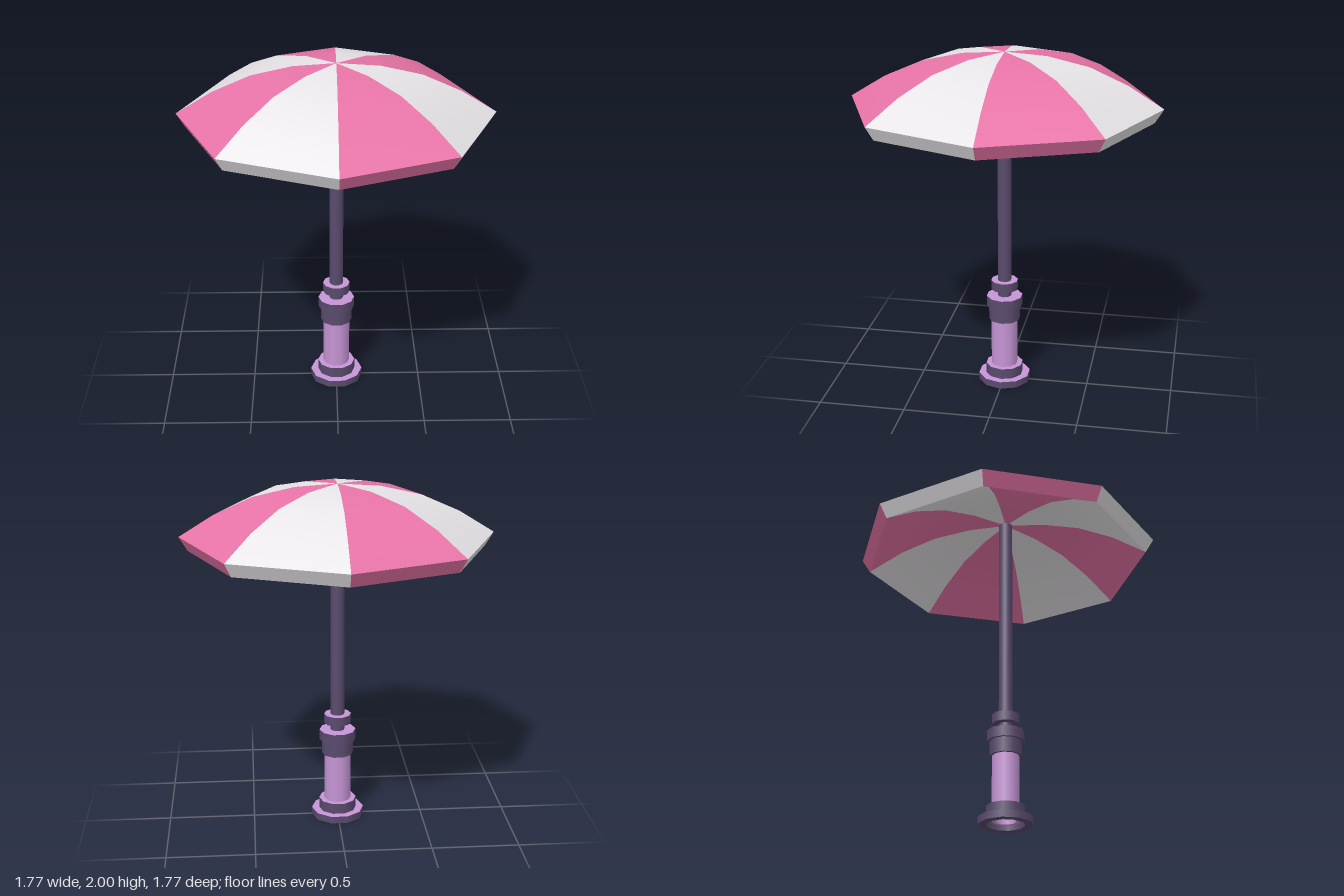
import * as THREE from 'three';

const pink = new THREE.MeshStandardMaterial({ name: 'pink cloth', color: 0xe975a8, side: THREE.DoubleSide });
const white = new THREE.MeshStandardMaterial({ name: 'white cloth', color: 0xe8e5e8, side: THREE.DoubleSide });
const dark = new THREE.MeshStandardMaterial({ name: 'dark purple', color: 0x5a4b6e });
const lilac = new THREE.MeshStandardMaterial({ name: 'lilac', color: 0xc695d6, side: THREE.DoubleSide });

const SIDES = 10;
const DOME = [[0, 2], [0.238, 1.984], [0.47, 1.932], [0.685, 1.837], [0.884, 1.714]];
const VALANCE = [[0.884, 1.714], [0.836, 1.635]];
const LINING = [[0.836, 1.635], [0.642, 1.752], [0.441, 1.834], [0.225, 1.876], [0, 1.888]];

// Cloth strip between two neighbouring ribs, following a [radius, height] profile
function clothPanel(profile, index) {
  const pos = [], idx = [];
  for (const [r, y] of profile) {
    for (const k of [index, index + 1]) {
      const a = (k * Math.PI) / 4;
      pos.push(r * Math.sin(a), y, r * Math.cos(a));
    }
  }
  for (let i = 0; i < profile.length - 1; i++) {
    const a = i * 2;
    if (profile[i + 1][0] > 0) idx.push(a, a + 2, a + 3);
    else idx.push(a, a + 2, a + 1);
    if (profile[i][0] > 0 && profile[i + 1][0] > 0) idx.push(a, a + 3, a + 1);
  }
  const geo = new THREE.BufferGeometry();
  geo.setAttribute('position', new THREE.Float32BufferAttribute(pos, 3));
  geo.setIndex(idx);
  geo.computeVertexNormals();
  return geo;
}

function add(group, name, geo, material) {
  const mesh = new THREE.Mesh(geo, material);
  mesh.name = name;
  group.add(mesh);
  return mesh;
}

// Open ten-sided tube with a corner on the x axis
function tube(group, name, r, y0, y1, material) {
  const geo = new THREE.CylinderGeometry(r, r, y1 - y0, SIDES, 1, true);
  geo.rotateY(Math.PI / 2).translate(0, (y0 + y1) / 2, 0);
  return add(group, name, geo, material);
}

// Flat ring facing up or down
function flatRing(group, name, inner, outer, y, up, material) {
  const geo = new THREE.RingGeometry(inner, outer, SIDES, 1);
  geo.rotateX(up ? -Math.PI / 2 : Math.PI / 2).translate(0, y, 0);
  return add(group, name, geo, material);
}

// Dark collar with a lilac upper face
function collar(group, name, inner, outer, y0, y1) {
  const part = new THREE.Group();
  part.name = name;
  tube(part, name + 'Side', outer, y0, y1, dark);
  flatRing(part, name + 'Top', inner, outer, y1, true, lilac);
  flatRing(part, name + 'Underside', inner, outer, y0, false, dark);
  group.add(part);
}

export function createModel() {
  const model = new THREE.Group();
  model.name = 'parasol';

  // Thick canopy of eight alternating panels, each with a valance and a lining
  const canopy = new THREE.Group();
  canopy.name = 'canopy';
  for (let i = 0; i < 8; i++) {
    const material = i % 2 ? white : pink;
    add(canopy, 'canopyPanel' + i, clothPanel(DOME, i), material);
    add(canopy, 'valance' + i, clothPanel(VALANCE, i), material);
    add(canopy, 'lining' + i, clothPanel(LINING, i), material);
  }
  model.add(canopy);

  // Pole
  tube(model, 'pole', 0.04, 0.5, 1.93, dark);

  // Stand, from the ground up
  const stand = new THREE.Group();
  stand.name = 'stand';
  collar(stand, 'foot', 0.108, 0.154, 0, 0.042);
  collar(stand, 'footCollar', 0.078, 0.11, 0.042, 0.105);
  tube(stand, 'column', 0.078, 0.02, 0.4, lilac);
  tube(stand, 'columnInside', 0.058, 0.02, 0.4, lilac);
  flatRing(stand, 'columnEnd', 0.058, 0.078, 0.02, false, lilac);
  collar(stand, 'lowerCollar', 0.04, 0.092, 0.396, 0.482);
  collar(stand, 'upperCollar', 0.04, 0.106, 0.482, 0.544);
  collar(stand, 'poleRing', 0.04, 0.079, 0.587, 0.642);

  // Inner walls of the hollow foot
  const inside = tube(stand, 'footInside', 0.108, 0, 0.042, dark);
  inside.geometry.index.array.reverse();
  const n = inside.geometry.attributes.normal;
  for (let i = 0; i < n.count; i++) n.setXYZ(i, -n.getX(i), 0, -n.getZ(i));
  model.add(stand);

  return model;
}
